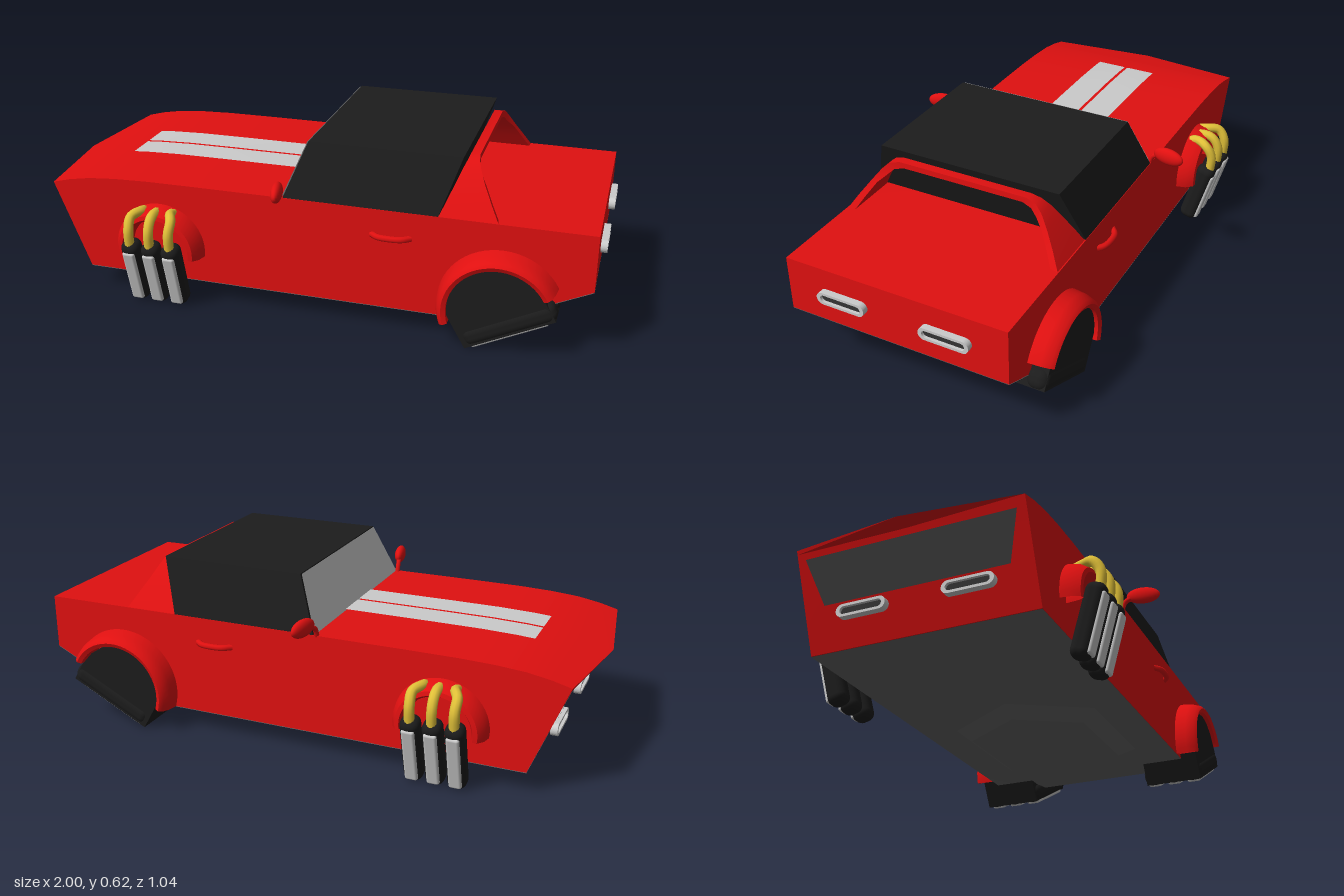
import * as THREE from 'three';
import { toCreasedNormals } from 'three/addons/utils/BufferGeometryUtils.js';
import { RoundedBoxGeometry } from 'three/addons/geometries/RoundedBoxGeometry.js';
import { ConvexGeometry } from 'three/addons/geometries/ConvexGeometry.js';

const mat = (color, side = THREE.FrontSide) => new THREE.MeshStandardMaterial({ color, side });
const red = mat(0xe01010), redThin = mat(0xe01010, THREE.DoubleSide);
const black = mat(0x1c1c1c), dark = mat(0x333333), under = mat(0x666666);
const grey = mat(0xcccccc), greyThin = mat(0xcccccc, THREE.DoubleSide), grilleMat = mat(0x444444, THREE.DoubleSide);
const brass = mat(0xe0c038);
const HALF = 0.395, DECK = 0.448;
const V = (x, y, z) => new THREE.Vector3(x, y, z);

function add(parent, name, geometry, material, x = 0, y = 0, z = 0) {
  const m = new THREE.Mesh(geometry, material);
  m.name = name;
  m.position.set(x, y, z);
  parent.add(m);
  return m;
}

// Surface through rows of points; each row may close on itself
function surface(rows, closed = false) {
  const n = rows[0].length, index = [];
  for (let i = 0; i < rows.length - 1; i++) {
    for (let j = 0; j < (closed ? n : n - 1); j++) {
      const k = (j + 1) % n, a = i * n + j, b = i * n + k, c = a + n, d = b + n;
      index.push(a, b, d, a, d, c);
    }
  }
  const g = new THREE.BufferGeometry().setFromPoints(rows.flat());
  g.setIndex(index);
  return toCreasedNormals(g, 0.6);
}

const polygon = (pts) => new THREE.Shape(pts.map(([x, y]) => new THREE.Vector2(x, y)));
const extrude = (shape, depth, opts = {}) =>
  new THREE.ExtrudeGeometry(shape, { depth, bevelEnabled: false, curveSegments: 12, ...opts });

function pill(w, h, Kind = THREE.Shape) {
  const p = new Kind(), r = h / 2, a = w / 2 - r;
  p.absarc(a, 0, r, -Math.PI / 2, Math.PI / 2);
  p.absarc(-a, 0, r, Math.PI / 2, Math.PI * 1.5);
  p.closePath();
  return p;
}

// Lamp facing local +z: bright rim around a dark lens
function lamp(name) {
  const g = new THREE.Group();
  g.name = name;
  const rim = pill(0.175, 0.044);
  rim.holes.push(pill(0.148, 0.026, THREE.Path));
  add(g, 'lampRim', extrude(rim, 0.024), grey);
  add(g, 'lampLens', extrude(pill(0.15, 0.028), 0.014), dark);
  return g;
}

// Thruster running along local y with its plate facing +z
function thruster(w, l, d) {
  const g = new THREE.Group();
  g.name = 'thruster';
  add(g, 'thrusterCasing', new RoundedBoxGeometry(w, l, d, 4, w * 0.42), black);
  add(g, 'thrusterPlate', new RoundedBoxGeometry(w * 0.68, l * 0.82, 0.02, 4, 0.009), grey, 0, -l * 0.03, d / 2 - 0.005);
  return g;
}

// Wheel arch: section points [radius factor, z] swept along an elliptical arc
function flare(cx, cy, rx, ry, a0, a1, section) {
  const rows = [];
  for (let i = 0; i <= 28; i++) {
    const a = THREE.MathUtils.degToRad(a0 + (a1 - a0) * i / 28);
    rows.push(section.map(([f, z]) => V(cx + rx * f * Math.cos(a), cy + ry * f * Math.sin(a), z)));
  }
  return surface(rows);
}

const hoodLine = [[-0.945, 0.404], [-0.88, 0.421], [-0.8, 0.435], [-0.7, 0.443], [-0.58, 0.447], [-0.4, DECK], [-0.07, DECK]];

function buildBody(car) {
  // Main shell: side profile across the width, nose lip pulled to a point
  const profile = [[-0.82, 0.09], [0.64, 0.09], [0.975, 0.25], [0.975, 0.445], ...[...hoodLine].reverse(), [-0.94, 0.392]];
  const shell = extrude(polygon(profile), HALF * 2, { steps: 2 });
  shell.translate(0, 0, -HALF);
  const p = shell.attributes.position;
  for (let i = 0; i < p.count; i++) {
    if (Math.abs(p.getZ(i)) < 0.01 && p.getX(i) < -0.943) {
      p.setX(i, -1);
      p.setY(i, 0.397);
    }
  }
  add(car, 'body', toCreasedNormals(shell, 0.4), red);

  // Floor and sloped rear underside
  const floor = [[-0.82, 0.09], [0.64, 0.09], [0.975, 0.25]];
  add(car, 'underside', surface([-HALF, HALF].map((z) => floor.map(([x, y]) => V(x, y - 0.002, z)))),
    mat(0x666666, THREE.DoubleSide));
  const pan = (s, y) => [[0.36, 0.27], [-0.08, 0.27], [-0.24, 0], [-0.08, -0.27], [0.36, -0.27]]
    .map(([x, z]) => V(0.06 + (x - 0.06) * s, y, z * s));
  add(car, 'bellyPan', new ConvexGeometry([...pan(1, 0.09), ...pan(0.81, 0.05)]), under);

  // Grille on the raked front
  const faceX = (y) => -0.82 - 0.12 * (y - 0.09) / 0.302;
  add(car, 'grille', surface([[0.225, 0.32], [0.37, 0.365]]
    .map(([y, w]) => [V(faceX(y) - 0.004, y, -w), V(faceX(y) - 0.004, y, w)])), grilleMat);

  // Lamps front and rear, hood stripes
  for (const s of [-1, 1]) {
    const head = lamp('headlight');
    head.position.set(faceX(0.19) - 0.002, 0.19, s * 0.183);
    head.rotation.y = -Math.PI / 2;
    car.add(head);
    const tail = lamp('tailLight');
    tail.position.set(0.973, 0.35, s * 0.185);
    tail.rotation.y = Math.PI / 2;
    car.add(tail);
    const line = [[-0.76, 0.439], ...hoodLine.slice(3)];
    add(car, 'hoodStripe', surface([0.006, 0.12].map((z) => line.map(([x, y]) => V(x, y + 0.004, s * z)))), greyThin);
  }
}

function buildCabin(car) {
  const base = DECK - 0.005, top = 0.635;
  const corners = [];
  for (const s of [-1, 1]) {
    corners.push(V(-0.075, base, s * HALF), V(0.46, base, s * HALF), V(0, top, s * 0.33), V(0.525, top, s * 0.33));
  }
  add(car, 'roof', new ConvexGeometry(corners), black);
  add(car, 'windshield', surface([
    [V(-0.08, base, -0.393), V(-0.08, base, 0.393)],
    [V(-0.004, top - 0.001, -0.328), V(-0.004, top - 0.001, 0.328)]]), greyThin);

  // Rear hoop flowing down into side buttresses: [z, y, front x, rear x]
  const half = [[0.395, 0.44, 0.462, 0.66], [0.36, 0.495, 0.482, 0.627], [0.325, 0.545, 0.502, 0.598],
    [0.295, 0.585, 0.518, 0.578], [0.27, 0.607, 0.528, 0.568], [0.235, 0.617, 0.532, 0.563]];
  const arch = [...half, ...[...half].reverse().map(([z, ...r]) => [-z, ...r])];
  add(car, 'rearHoop', surface(arch.map(([z, y, f, r]) => {
    const zi = z * 0.94, yi = y - (y > 0.58 ? 0.02 : 0.006);
    return [V(f, y, z), V(r, y, z), V(r, yi, zi), V(f, yi, zi)];
  }), true), redThin);
}

function buildSide(car, s) {
  const side = new THREE.Group();
  side.name = s > 0 ? 'leftSide' : 'rightSide';
  side.scale.z = s;
  car.add(side);

  // Front arch, brass pipes and three thrusters
  add(side, 'frontFlare', flare(-0.53, 0.21, 0.165, 0.16, -8, 188,
    [[1, 0.39], [0.95, 0.43], [0.85, 0.455], [0.76, 0.458], [0.7, 0.44], [0.66, 0.39]]), redThin);
  for (const k of [-1, 0, 1]) {
    const x = -0.53 + k * 0.075, xi = -0.53 + k * 0.055;
    const path = new THREE.CatmullRomCurve3([V(xi, 0.335, 0.385), V(xi, 0.35, 0.43),
      V(x, 0.343, 0.472), V(x, 0.305, 0.497), V(x, 0.24, 0.496)]);
    add(side, 'exhaustPipe', new THREE.TubeGeometry(path, 20, 0.0175, 10), brass);
    const t = thruster(0.066, 0.255, 0.07);
    t.position.set(x, 0.137, 0.456);
    t.rotation.x = 0.27;
    side.add(t);
  }

  // Rear arch, half-round housing and three angled thrusters
  add(side, 'rearFlare', flare(0.678, 0.15, 0.212, 0.208, 28, 197,
    [[1, 0.385], [0.97, 0.435], [0.92, 0.465], [0.86, 0.475], [0.79, 0.468], [0.78, 0.39]]), redThin);
  const housing = polygon([[0.578, 0.012], [0.868, 0.157], [0.83, 0.22], [0.785, 0.27], [0.735, 0.3], [0.68, 0.31],
    [0.62, 0.3], [0.565, 0.27], [0.525, 0.225], [0.505, 0.17], [0.51, 0.13]]);
  add(side, 'rearHousing', extrude(housing, 0.215), black, 0, 0, 0.24);
  const along = V(0.894, 0.448, 0), out = V(0.448, -0.894, 0);
  for (const z of [0.422, 0.344, 0.266]) {
    const t = thruster(0.077, 0.335, 0.075);
    t.quaternion.setFromRotationMatrix(new THREE.Matrix4().makeBasis(V(0, 0, -1), along, out));
    t.position.copy(V(0.73, 0.083, z).addScaledVector(out, -0.036));
    side.add(t);
  }

  // Mirror on a short stalk
  const stalk = new THREE.CatmullRomCurve3([V(-0.085, 0.44, 0.385), V(-0.083, 0.475, 0.4), V(-0.076, 0.49, 0.43)]);
  add(side, 'mirrorStalk', new THREE.TubeGeometry(stalk, 8, 0.009, 8), red);
  const mirror = add(side, 'mirror', new THREE.SphereGeometry(1, 20, 14), red, -0.068, 0.495, 0.462);
  mirror.scale.set(0.02, 0.031, 0.06);
  mirror.rotation.y = 0.2;

  // Bowed door handle
  const bow = new THREE.CatmullRomCurve3([V(0.238, 0.355, 0.39), V(0.265, 0.355, 0.41), V(0.305, 0.355, 0.415),
    V(0.345, 0.355, 0.41), V(0.372, 0.355, 0.39)]);
  add(side, 'doorHandle', new THREE.TubeGeometry(bow, 16, 0.011, 8), red);
}

export function createModel() {
  const car = new THREE.Group();
  car.name = 'hoverCar';
  buildBody(car);
  buildCabin(car);
  for (const s of [1, -1]) buildSide(car, s);
  return car;
}
